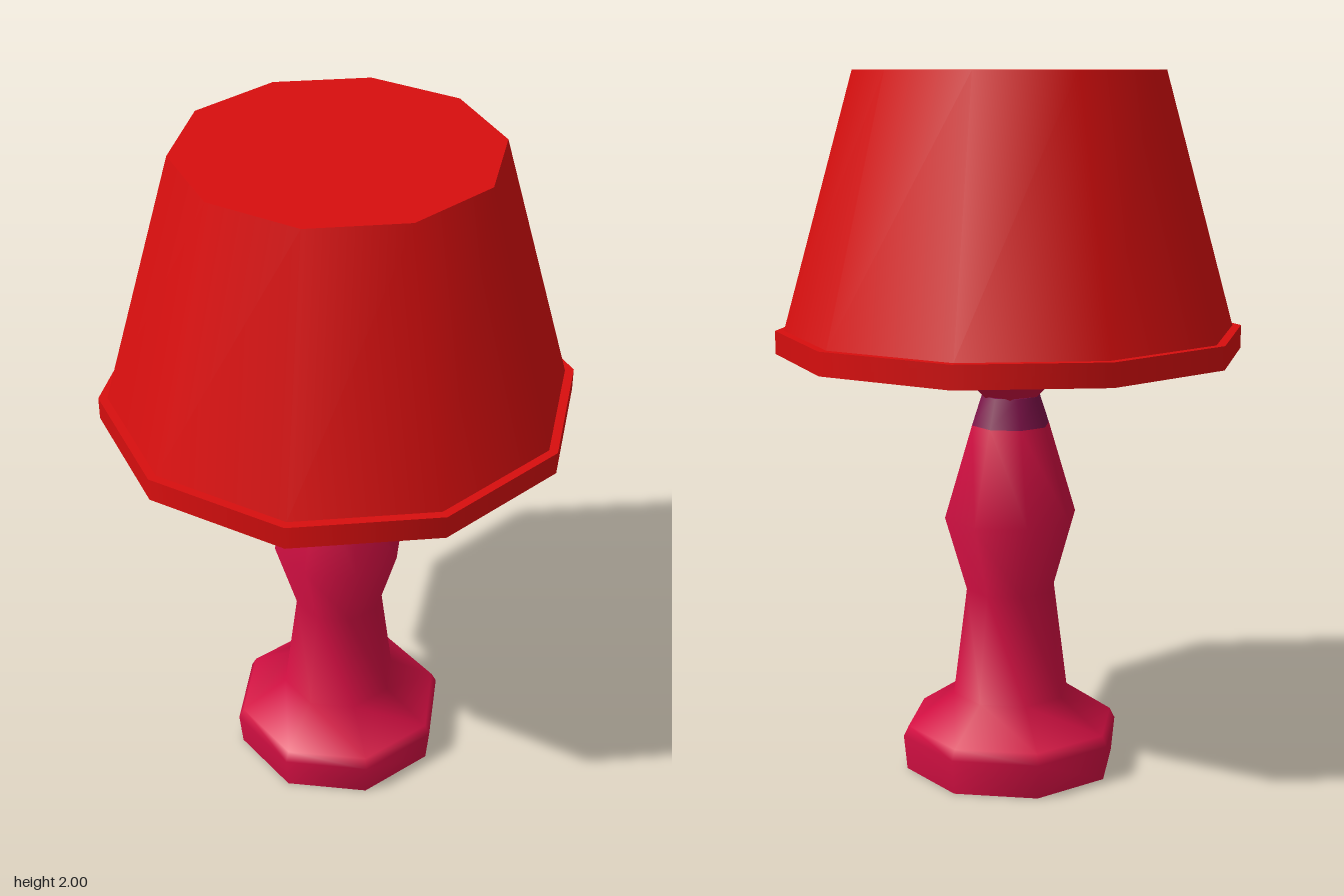
import * as THREE from 'three';

const mat = (name, color) => {
  const m = new THREE.MeshStandardMaterial({ color });
  m.name = name;
  return m;
};

export function createModel() {
  const lamp = new THREE.Group();
  lamp.name = 'tableLamp';
  const red = mat('shadeRed', 0xd80e0e);
  const crimson = mat('bodyCrimson', 0xd20f42);
  const purple = mat('collarPurple', 0x7c1048);

  const add = (name, geometry, material, y = 0, turn = 0) => {
    const mesh = new THREE.Mesh(geometry, material);
    mesh.name = name;
    mesh.position.y = y;
    mesh.rotation.y = turn;
    lamp.add(mesh);
    return mesh;
  };
  // Turned profile given as [radius, height] from bottom to top
  const turned = (points, sides) =>
    new THREE.LatheGeometry(points.map(([r, y]) => new THREE.Vector2(r, y)), sides);
  // Capped cone section between two heights
  const section = (name, rTop, rBottom, y0, y1, sides, material) =>
    add(name, new THREE.CylinderGeometry(rTop, rBottom, y1 - y0, sides), material, (y0 + y1) / 2, Math.PI / 2);

  // Eight-sided base and column
  add('body', turned([
    [0.31, 0], [0.32, 0.1], [0.305, 0.13], [0.17, 0.22],
    [0.13, 0.53], [0.193, 0.745], [0.113, 1.01],
  ], 8), crimson);
  add('baseUnderside', new THREE.CircleGeometry(0.31, 8), crimson).rotation.x = Math.PI / 2;

  // Collar, six-sided knob and stem
  section('collar', 0.085, 0.113, 1.01, 1.095, 8, purple);
  section('knobLower', 0.127, 0.08, 1.09, 1.135, 6, crimson);
  section('knobUpper', 0.075, 0.127, 1.135, 1.18, 6, crimson);
  section('knobCap', 0.068, 0.075, 1.18, 1.2, 6, purple);
  section('stem', 0.05, 0.05, 1.2, 1.23, 8, purple);

  // Ten-sided shade with a rim band
  section('shadeRim', 0.66, 0.66, 1.22, 1.285, 10, red);
  section('shade', 0.435, 0.635, 1.285, 2, 10, red);

  return lamp;
}
